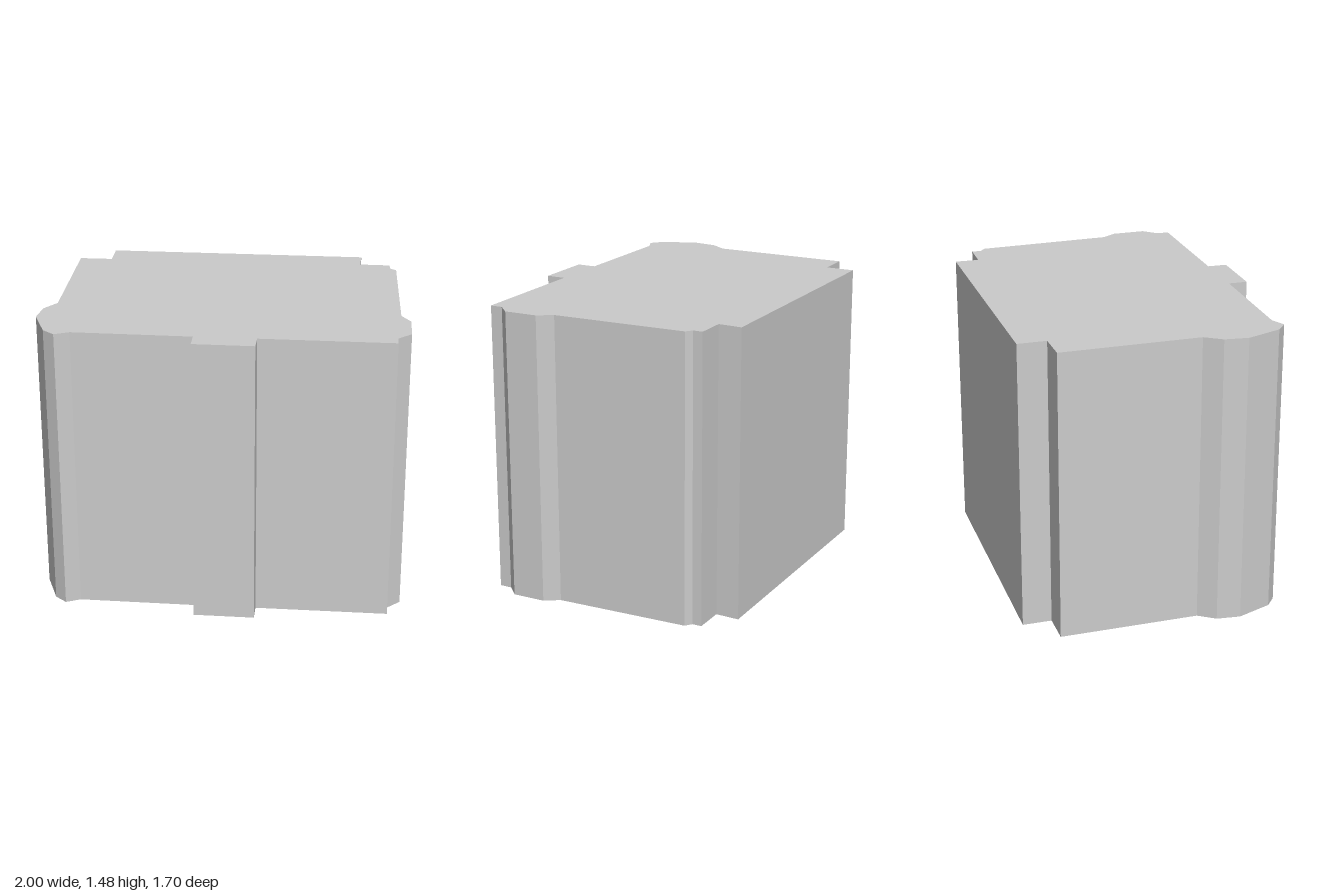
import * as THREE from 'three';

const HEIGHT = 1.475;

// Footprint corners [x, z], from the back edge round by +x, the front and -x
const FOOTPRINT = [
  [0.37, -0.85], [0.407, -0.735], [0.556, -0.786], [0.573, -0.74], [0.613, -0.728],
  [0.87, -0.088], [0.94, -0.035], [1, 0.125], [0.961, 0.206], [0.982, 0.265],
  [0.352, 0.49], [0.384, 0.583], [0.096, 0.685], [0.063, 0.594],
  [-0.5, 0.79], [-0.557, 0.846], [-0.63, 0.82], [-0.755, 0.676], [-0.783, 0.559], [-0.757, 0.46],
  [-1, -0.202], [-0.842, -0.26], [-0.892, -0.398],
];

// One flat upright panel per footprint edge, facing outwards
function wallGeometry(points, height) {
  const positions = [];
  points.forEach(([ax, az], i) => {
    const [bx, bz] = points[(i + 1) % points.length];
    positions.push(bx, 0, bz, ax, 0, az, ax, height, az);
    positions.push(bx, 0, bz, ax, height, az, bx, height, bz);
  });
  const geometry = new THREE.BufferGeometry();
  geometry.setAttribute('position', new THREE.Float32BufferAttribute(positions, 3));
  geometry.computeVertexNormals();
  return geometry;
}

// Flat roof filling the footprint
function roofGeometry(points, height) {
  const shape = new THREE.Shape(points.map(([x, z]) => new THREE.Vector2(x, -z)));
  return new THREE.ShapeGeometry(shape).rotateX(-Math.PI / 2).translate(0, height, 0);
}

export function createModel() {
  const model = new THREE.Group();
  model.name = 'building';
  // Thin shell, open underneath
  const material = new THREE.MeshStandardMaterial({
    color: 0xcccccc, flatShading: true, side: THREE.DoubleSide,
  });
  const addPart = (name, geometry) => {
    const mesh = new THREE.Mesh(geometry, material);
    mesh.name = name;
    model.add(mesh);
  };
  addPart('walls', wallGeometry(FOOTPRINT, HEIGHT));
  addPart('roof', roofGeometry(FOOTPRINT, HEIGHT));
  return model;
}
